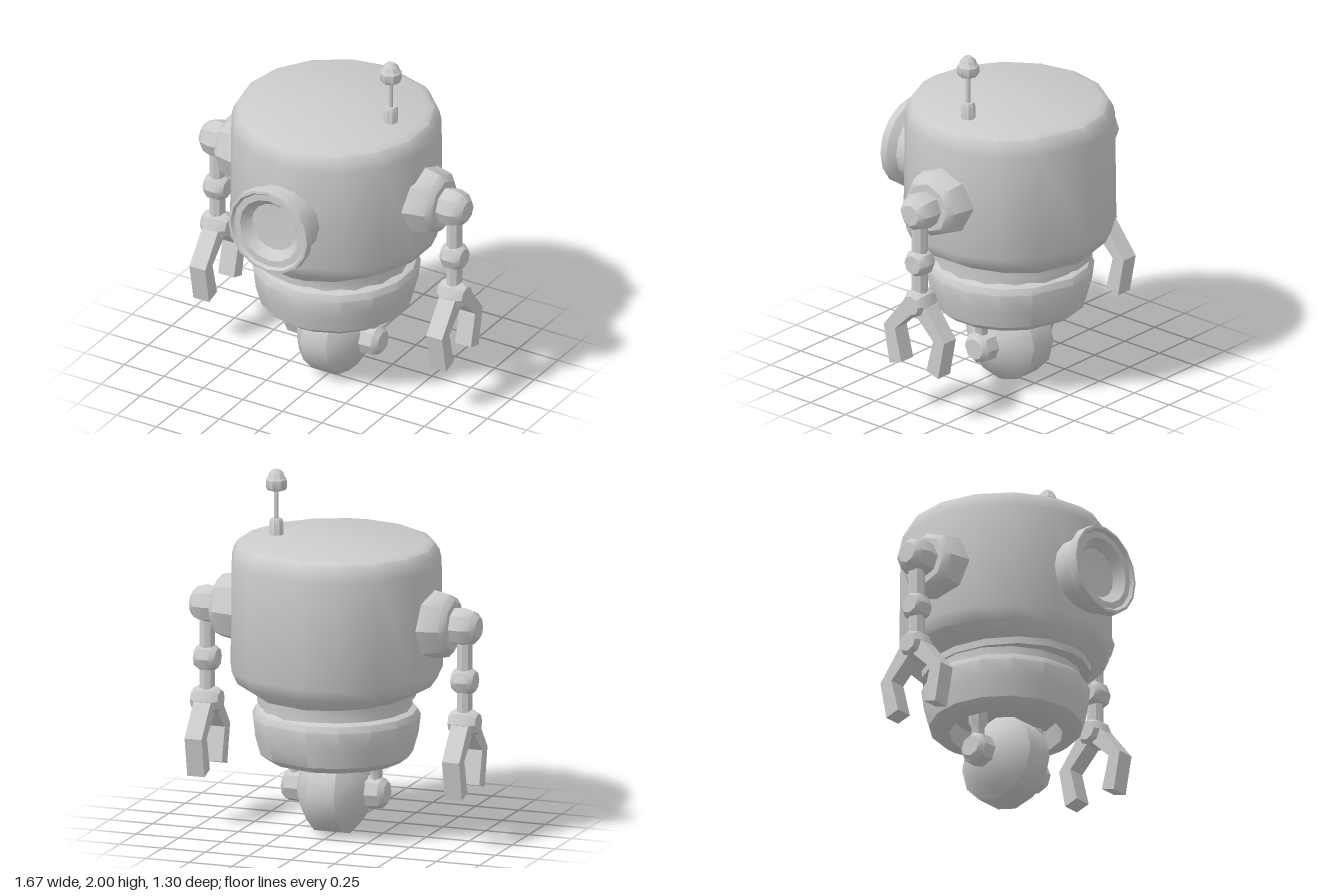
import * as THREE from 'three';
import { toCreasedNormals } from 'three/addons/utils/BufferGeometryUtils.js';

const material = new THREE.MeshStandardMaterial({ color: 0xcccccc });
const CREASE = 0.65;

function addMesh(parent, name, geometry, x = 0, y = 0, z = 0) {
  const mesh = new THREE.Mesh(toCreasedNormals(geometry, CREASE), material);
  mesh.name = name;
  mesh.position.set(x, y, z);
  parent.add(mesh);
  return mesh;
}

// Turned part: profile of [radius, height], axis 'x', 'y' or 'z'
function turned(profile, sides, axis = 'y') {
  const g = new THREE.LatheGeometry(profile.map(([r, h]) => new THREE.Vector2(r, h)), sides);
  if (axis === 'x') g.rotateZ(-Math.PI / 2);
  if (axis === 'z') g.rotateX(Math.PI / 2);
  return g;
}

// Shift the facets on the +x half by half a step and narrow the lowest rows
function shapeShell(g, narrowBelow = -1) {
  const p = g.attributes.position;
  for (let i = 0; i < p.count; i++) {
    let x = p.getX(i), z = p.getZ(i);
    const r = Math.hypot(x, z);
    if (x > 0.001) {
      const a = Math.atan2(x, -z) + Math.PI / 16;
      x = r * Math.sin(a);
      z = -r * Math.cos(a);
    }
    if (p.getY(i) < narrowBelow) x *= 0.88;
    p.setXYZ(i, x, p.getY(i), z);
  }
  return g;
}

// Bevelled joint drum lying along x
function drum(radius, half) {
  return turned([[0, -half], [radius * 0.7, -half], [radius, -half * 0.5],
    [radius, half * 0.5], [radius * 0.7, half], [0, half]], 8, 'x');
}

// Bent claw finger in the (z, y) plane, side = +1 front, -1 back
function finger(side) {
  const outline = [[0.05, 0.715], [0.216, 0.503], [0.174, 0.285], [0.09, 0.31], [0.137, 0.497], [0.02, 0.61]];
  const shape = new THREE.Shape(outline.map(([z, y]) => new THREE.Vector2(-z * side, y)));
  const g = new THREE.ExtrudeGeometry(shape, { depth: 0.1, bevelEnabled: false });
  return g.translate(0, 0, -0.05).rotateY(Math.PI / 2);
}

// Arm and wheel mount on the +x side
function buildSide(name) {
  const side = new THREE.Group();
  side.name = name;
  const armX = 0.75;
  addMesh(side, 'shoulderPlate', turned([[0, 0.45], [0.2, 0.45], [0.2, 0.54], [0.175, 0.66], [0.14, 0.69], [0, 0.69]], 8, 'x'), 0, 1.215);
  addMesh(side, 'shoulderJoint', turned([[0, 0.67], [0.098, 0.67], [0.108, 0.75], [0.092, 0.805], [0.06, 0.835], [0, 0.835]], 8, 'x'), 0, 1.215);
  addMesh(side, 'upperArm', new THREE.CylinderGeometry(0.045, 0.045, 0.24, 8), armX, 1.06);
  addMesh(side, 'elbow', drum(0.078, 0.064), armX, 0.915);
  addMesh(side, 'forearm', new THREE.CylinderGeometry(0.045, 0.045, 0.2, 8), armX, 0.78);
  addMesh(side, 'wrist', drum(0.08, 0.08), armX, 0.68);
  addMesh(side, 'frontFinger', finger(1), armX);
  addMesh(side, 'backFinger', finger(-1), armX);

  addMesh(side, 'wheelHub', turned([[0, 0.15], [0.095, 0.15], [0.088, 0.27], [0.06, 0.3], [0, 0.3]], 8, 'x'), 0, 0.245);
  addMesh(side, 'wheelStrut', turned([[0, 0.27], [0.035, 0.27], [0.035, 0.37], [0.052, 0.4], [0.052, 0.52], [0, 0.52]], 8), 0.235);
  return side;
}

export function createModel() {
  const model = new THREE.Group();
  model.name = 'robot';
  const body = new THREE.Group();
  body.name = 'bodyAssembly';
  body.position.z = -0.07;
  model.add(body);

  // Main drum with rounded rim and tapered bottom
  addMesh(body, 'bodyShell', shapeShell(turned([
    [0, 0.755], [0.485, 0.755], [0.487, 0.795], [0.55, 0.86], [0.582, 0.93], [0.575, 1.53],
    [0.565, 1.58], [0.54, 1.62], [0.5, 1.637], [0, 1.642]], 16), 0.8));
  addMesh(body, 'neck', turned([[0, 0.68], [0.415, 0.68], [0.415, 0.77], [0, 0.77]], 16));

  // Lower ring, hollow underneath
  addMesh(body, 'lowerRing', shapeShell(turned([
    [0, 0.52], [0.28, 0.52], [0.31, 0.418], [0.37, 0.418], [0.42, 0.455], [0.45, 0.56],
    [0.462, 0.66], [0.445, 0.695], [0.405, 0.715], [0, 0.715]], 16)));

  // Eye with flared rim and dished lens
  addMesh(model, 'eye', turned([
    [0.215, 0.3], [0.215, 0.565], [0.255, 0.6], [0.25, 0.648], [0.235, 0.65],
    [0.222, 0.632], [0.185, 0.632], [0.14, 0.58], [0, 0.575]], 16, 'z'), -0.005, 1.19);

  // Antenna
  const antenna = new THREE.Group();
  antenna.name = 'antenna';
  antenna.position.x = 0.347;
  body.add(antenna);
  addMesh(antenna, 'antennaBase', turned([[0, 1.6], [0.04, 1.6], [0.04, 1.71], [0.03, 1.728], [0, 1.728]], 8));
  addMesh(antenna, 'antennaRod', new THREE.CylinderGeometry(0.013, 0.013, 0.2, 8), 0, 1.81);
  addMesh(antenna, 'antennaTip', turned([
    [0, 1.89], [0.052, 1.89], [0.062, 1.905], [0.06, 1.947], [0.05, 1.955], [0.042, 1.98], [0.022, 2], [0, 2]], 8));

  // Single fat wheel with domed sides
  addMesh(body, 'wheel', turned([
    [0, -0.205], [0.09, -0.195], [0.19, -0.135], [0.245, -0.08],
    [0.245, 0.08], [0.19, 0.135], [0.09, 0.195], [0, 0.205]], 12, 'x'), 0, 0.245);

  // Both sides share one build, turned half way round
  body.add(buildSide('leftSide'));
  const right = buildSide('rightSide');
  right.rotation.y = Math.PI;
  body.add(right);
  return model;
}
